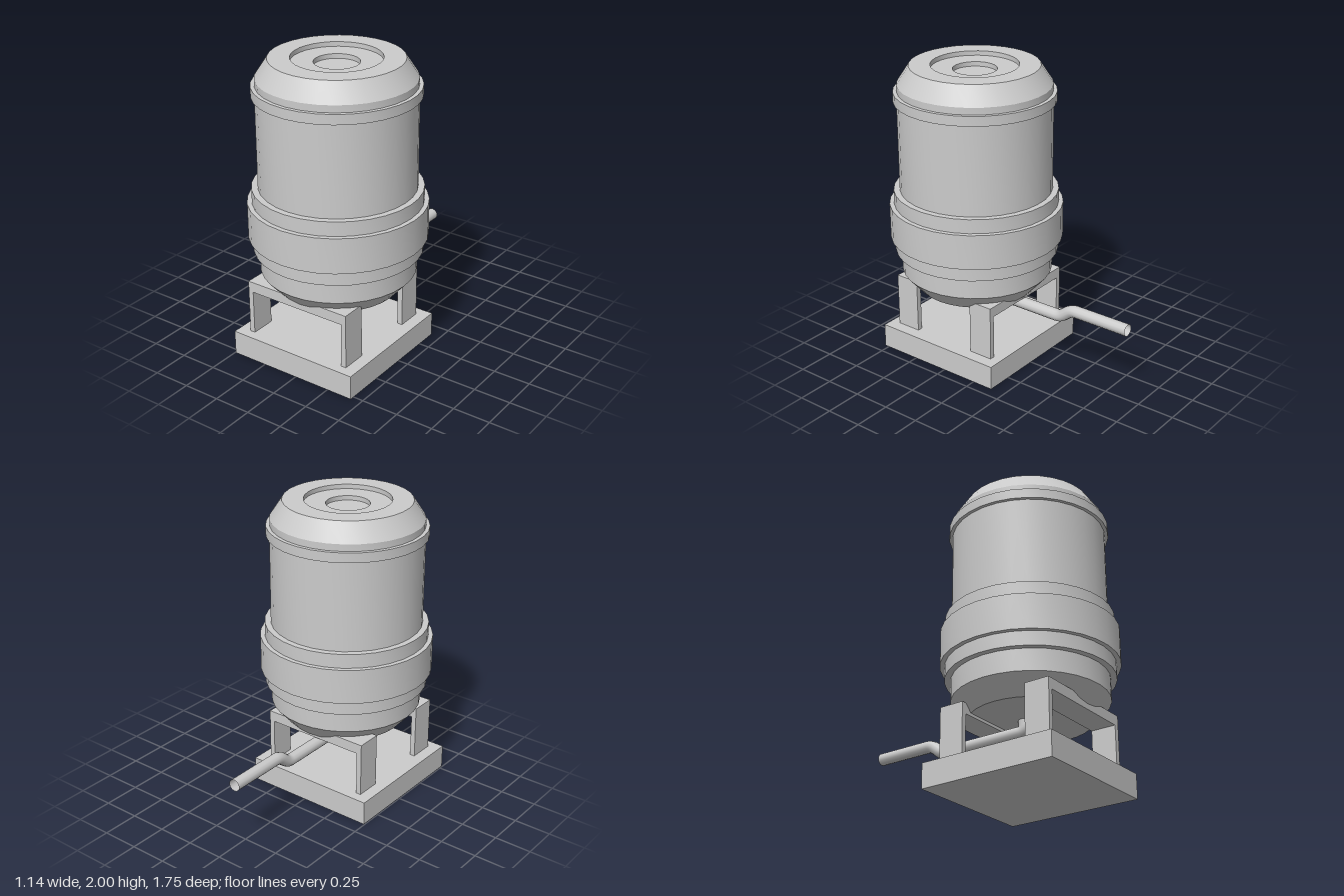
import * as THREE from 'three';
import { toCreasedNormals } from 'three/addons/utils/BufferGeometryUtils.js';

const material = new THREE.MeshStandardMaterial({ color: 0xcccccc });
const openMaterial = new THREE.MeshStandardMaterial({ color: 0xcccccc, side: THREE.DoubleSide });

function addMesh(parent, name, geometry, mat = material) {
  const mesh = new THREE.Mesh(geometry, mat);
  mesh.name = name;
  parent.add(mesh);
  return mesh;
}

// Box given by its minimum and maximum corners
function addBox(parent, name, [x0, y0, z0], [x1, y1, z1]) {
  const box = addMesh(parent, name, new THREE.BoxGeometry(x1 - x0, y1 - y0, z1 - z0));
  box.position.set((x0 + x1) / 2, (y0 + y1) / 2, (z0 + z1) / 2);
}

// Banded barrel with tapered ends and a stepped recess in the lid
function createTank() {
  const profile = [
    [0, 0.48], [0.395, 0.48], [0.5, 0.6], [0.5, 0.745],
    [0.54, 0.745], [0.54, 0.84], [0.57, 0.84], [0.57, 1.075],
    [0.54, 1.075], [0.54, 1.17], [0.5, 1.17], [0.5, 1.77],
    [0.522, 1.77], [0.522, 1.835], [0.497, 1.835], [0.497, 1.88],
    [0.418, 2], [0.282, 2], [0.282, 1.97], [0.142, 1.97], [0.142, 1.94], [0, 1.94],
  ].map(([r, y]) => new THREE.Vector2(r, y));
  return toCreasedNormals(new THREE.LatheGeometry(profile, 32), 0.4);
}

// Pipe centre line: straight runs joined by short rounded bends
function createPipe() {
  const corners = [[0.51, 0.28], [0.408, 0.28], [0.408, -0.36], [0.478, -0.45], [0.478, -0.877]]
    .map(([y, z]) => new THREE.Vector3(-0.035, y, z));
  const path = new THREE.CurvePath();
  let start = corners[0];
  for (let i = 1; i < corners.length - 1; i++) {
    const corner = corners[i];
    const toward = (p) => corner.clone().add(p.clone().sub(corner).setLength(0.035));
    const before = toward(corners[i - 1]);
    const after = toward(corners[i + 1]);
    path.add(new THREE.LineCurve3(start, before));
    path.add(new THREE.QuadraticBezierCurve3(before, corner, after));
    start = after;
  }
  path.add(new THREE.LineCurve3(start, corners[corners.length - 1]));
  return new THREE.TubeGeometry(path, 100, 0.04, 12, false);
}

export function createModel() {
  const model = new THREE.Group();
  model.name = 'barrelTankOnStand';

  addMesh(model, 'tank', createTank()).position.z = 0.305;
  addMesh(model, 'drainPipe', createPipe(), openMaterial);
  addBox(model, 'basePlate', [-0.495, 0, -0.148], [0.43, 0.163, 0.78]);

  // Two bridge-shaped supports, front and back
  for (const [name, z0, z1] of [['frontSupport', 0.545, 0.715], ['backSupport', -0.08, 0.09]]) {
    const support = new THREE.Group();
    support.name = name;
    addBox(support, 'rightLeg', [-0.415, 0.16, z0], [-0.38, 0.46, z1]);
    addBox(support, 'leftLeg', [0.312, 0.16, z0], [0.348, 0.46, z1]);
    addBox(support, 'crossbar', [-0.415, 0.46, z0], [0.348, 0.53, z1]);
    model.add(support);
  }
  return model;
}
